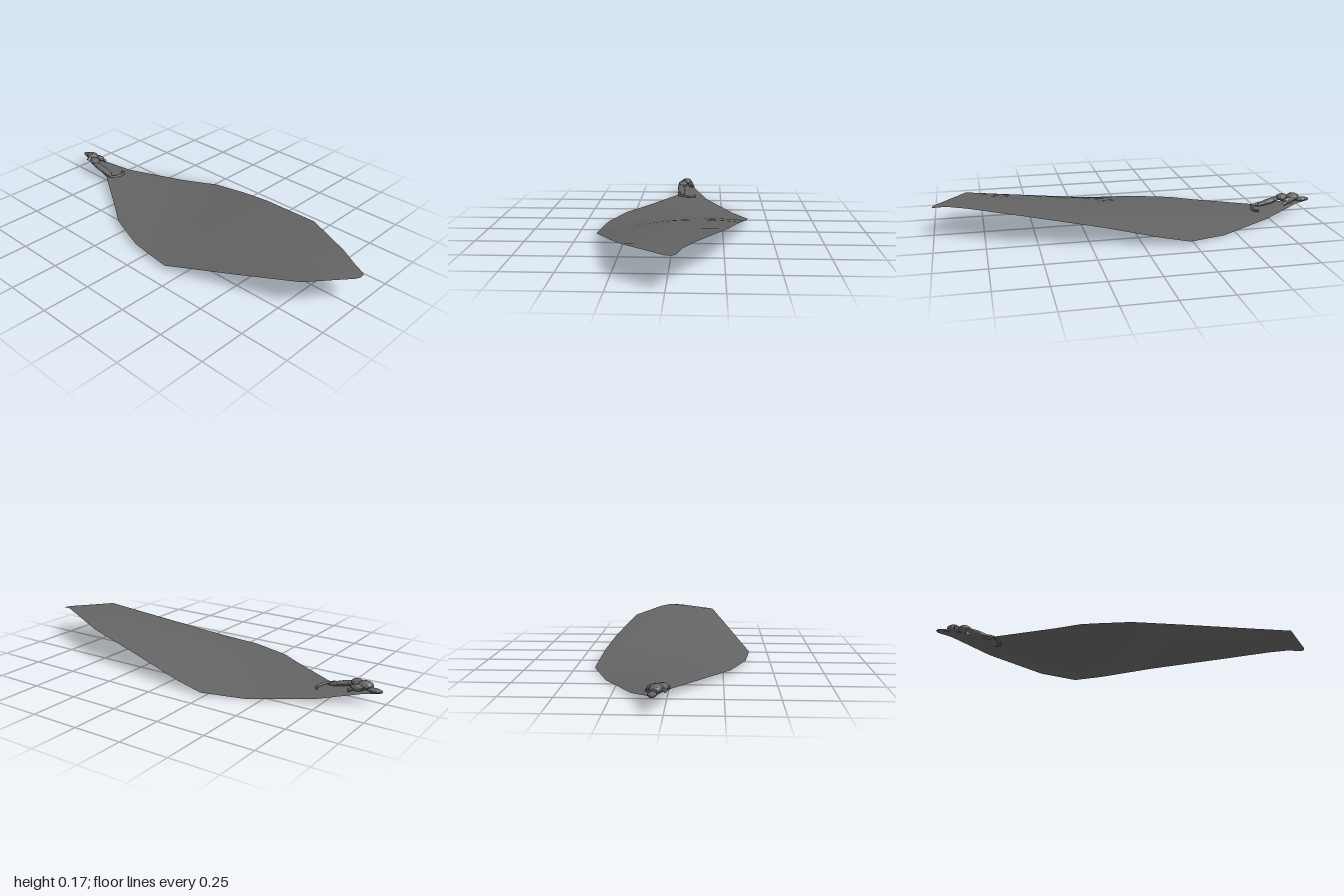
import * as THREE from 'three';

const bladeMaterial = new THREE.MeshStandardMaterial({ color: 0x636363, side: THREE.DoubleSide });
const stemMaterial = new THREE.MeshStandardMaterial({ color: 0x636363, flatShading: true });
const V = (x, y, z) => new THREE.Vector3(x, y, z);

// Cross-sections from stem to tip: z, left x, left y, right x, right y, middle y
const SECTIONS = [
  [-0.99, 0.035, 0.075, 0.055, 0.07, 0.075],
  [-0.92, 0.02, 0.07, 0.07, 0.06, 0.068],
  [-0.72, -0.02, 0.04, 0.16, 0.018, 0.036],
  [-0.43, -0.205, 0.03, 0.31, 0.001, 0.035],
  [-0.31, -0.285, 0.028, 0.358, 0.008, 0.04],
  [-0.23, -0.315, 0.027, 0.392, 0.014, 0.045],
  [-0.08, -0.367, 0.025, 0.38, 0.042, 0.056],
  [0, -0.378, 0.024, 0.37, 0.06, 0.069],
  [0.16, -0.397, 0.023, 0.342, 0.092, 0.095],
  [0.2, -0.385, 0.031, 0.335, 0.1, 0.102],
  [0.56, -0.278, 0.102, 0.26, 0.157, 0.147],
  [0.83, -0.195, 0.157, 0.127, 0.172, 0.163],
  [0.93, -0.075, 0.157, 0.07, 0.17, 0.162],
  [0.985, -0.01, 0.157, 0.05, 0.162, 0.159],
  [0.998, 0.015, 0.157, 0.04, 0.16, 0.158],
];

// Thin curved sheet lofted through the sections
function makeBlade() {
  const cols = 12;
  const geo = new THREE.PlaneGeometry(1, 1, cols, SECTIONS.length - 1);
  const pos = geo.attributes.position;
  SECTIONS.forEach(([z, xl, yl, xr, yr, ym], row) => {
    const bulge = ym - (yl + yr) / 2;
    for (let c = 0; c <= cols; c++) {
      const t = c / cols;
      const y = yl + (yr - yl) * t + bulge * 4 * t * (1 - t);
      pos.setXYZ(row * (cols + 1) + c, xl + (xr - xl) * t, y, z);
    }
  });
  geo.computeVertexNormals();
  const mesh = new THREE.Mesh(geo, bladeMaterial);
  mesh.name = 'blade';
  return mesh;
}

// Low-poly cord through the given points
function makeCord(name, points, radius) {
  const curve = new THREE.CatmullRomCurve3(points);
  const mesh = new THREE.Mesh(new THREE.TubeGeometry(curve, 12, radius, 5), stemMaterial);
  mesh.name = name;
  return mesh;
}

// Small faceted lump, turned about y and tilted about x
function makeLump(name, center, size, turn = 0, tilt = 0) {
  const mesh = new THREE.Mesh(new THREE.IcosahedronGeometry(1, 1), stemMaterial);
  mesh.name = name;
  mesh.position.copy(center);
  mesh.scale.copy(size);
  mesh.rotation.set(tilt, turn, 0);
  return mesh;
}

// Knotted stem at the narrow back end
function makeStem() {
  const stem = new THREE.Group();
  stem.name = 'stem';
  stem.add(
    makeCord('hookedCord', [V(0.09, 0.04, -0.7), V(0.068, 0.037, -0.677), V(0.03, 0.037, -0.683),
      V(-0.003, 0.042, -0.7), V(-0.006, 0.052, -0.74)], 0.009),
    makeCord('shortCord', [V(0.08, 0.062, -0.84), V(0.066, 0.08, -0.88), V(0.055, 0.085, -0.93)], 0.009),
    makeCord('crossCord', [V(-0.008, 0.075, -0.9), V(0.03, 0.1, -0.905), V(0.07, 0.075, -0.895)], 0.011),
    makeLump('curledStrip', V(0.004, 0.062, -0.79), V(0.022, 0.014, 0.085), 0.08, 0.25),
    makeLump('knot', V(0.036, 0.09, -0.91), V(0.03, 0.021, 0.038), 0.2),
    makeLump('knotFold', V(0.012, 0.084, -0.86), V(0.028, 0.019, 0.034), -0.3),
    makeLump('knotSide', V(0.06, 0.078, -0.88), V(0.016, 0.018, 0.036), 0.3),
    makeLump('stemEnd', V(0.048, 0.077, -0.96), V(0.02, 0.012, 0.04)),
  );
  return stem;
}

export function createModel() {
  const model = new THREE.Group();
  model.name = 'leaf';
  model.add(makeBlade(), makeStem());
  return model;
}
